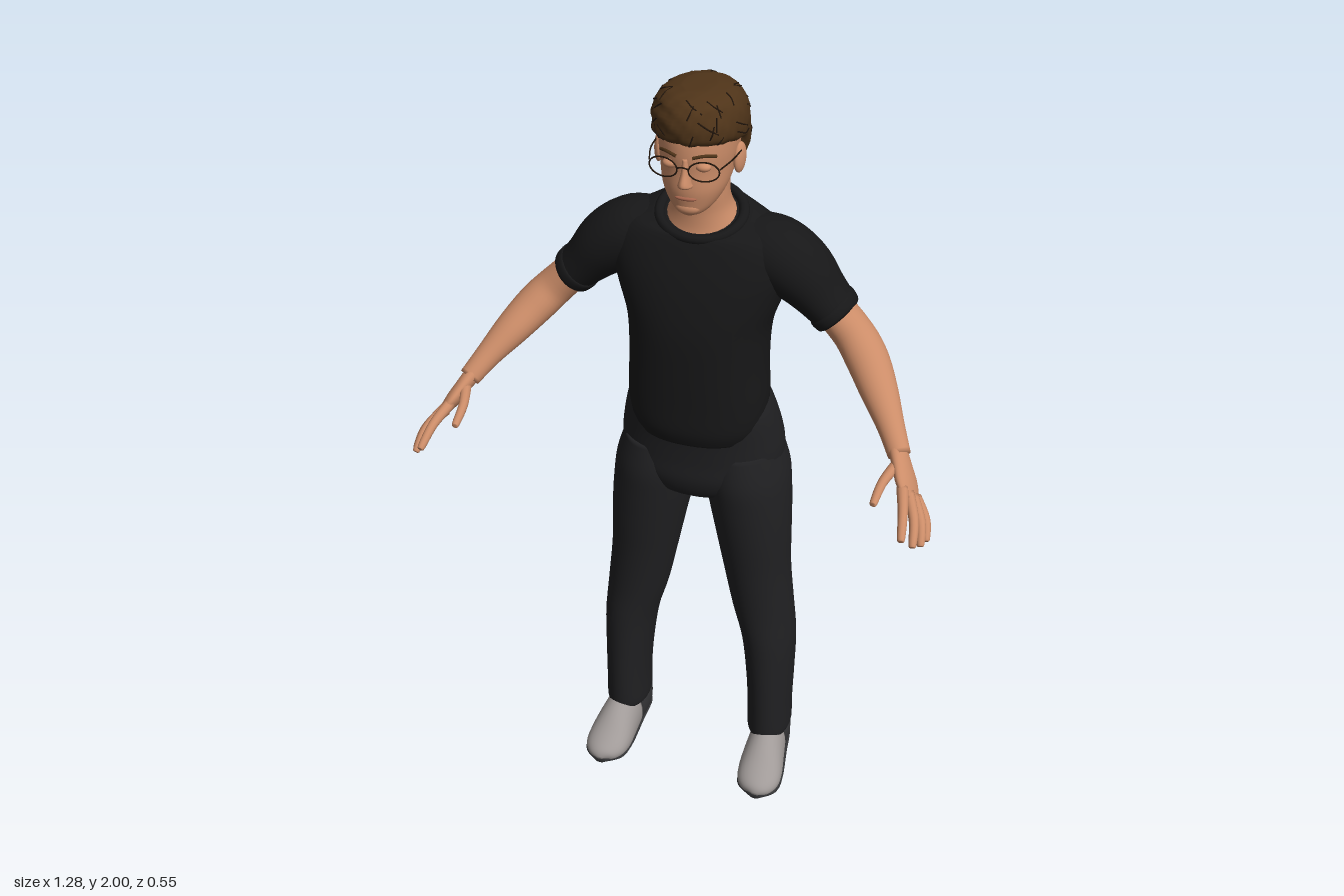
import * as THREE from 'three';

const material = (name, color) => Object.assign(new THREE.MeshStandardMaterial({ color }), { name });
const V = (x, y, z) => new THREE.Vector3(x, y, z);

// Catmull-Rom interpolation of rows of numbers
function sampleRows(rows, t) {
  const f = t * (rows.length - 1), i = Math.min(Math.floor(f), rows.length - 2), k = f - i;
  const at = j => rows[Math.max(0, Math.min(rows.length - 1, j))];
  return rows[i].map((b, n) => {
    const a = at(i - 1)[n], c = at(i + 1)[n], d = at(i + 2)[n];
    return b + 0.5 * k * (c - a + k * (2 * a - 5 * b + 4 * c - d + k * (3 * (b - c) + d - a)));
  });
}

// Closed smooth skin through rows [x, y, z, radiusU, radiusV, tilt].
// Without ref the rings lie flat (U = x, V = z); with ref they stand across the path.
function loft(rows, { ref = null, sides = 28, power = 1, steps = 5, warp = null } = {}) {
  const n = (rows.length - 1) * steps, pos = [], idx = [];
  const samples = Array.from({ length: n + 1 }, (_, i) => sampleRows(rows, i / n));
  const point = s => V(s[0], s[1], s[2]);
  const bend = c => Math.sign(c) * Math.abs(c) ** power;
  samples.forEach((s, i) => {
    let u = V(1, 0, 0), v = V(0, 0, 1);
    if (ref) {
      const t = point(samples[Math.min(n, i + 1)]).sub(point(samples[Math.max(0, i - 1)])).normalize();
      u = t.clone().cross(ref).normalize();
      v = t.clone().cross(u);
    }
    for (let j = 0; j < sides; j++) {
      const a = j / sides * Math.PI * 2, c = bend(Math.cos(a)), d = bend(Math.sin(a));
      const p = point(s).addScaledVector(u, c * s[3]).addScaledVector(v, d * s[4]);
      p.y += (s[5] || 0) * d;
      if (warp) warp(p);
      pos.push(p.x, p.y, p.z);
      if (i < n) {
        const q = i * sides + j, r = i * sides + (j + 1) % sides;
        idx.push(q, r, q + sides, r, r + sides, q + sides);
      }
    }
  });
  // end caps
  [0, n].forEach(e => {
    const c = pos.length / 3;
    pos.push(samples[e][0], samples[e][1], samples[e][2]);
    for (let j = 0; j < sides; j++) {
      const q = e * sides + j, r = e * sides + (j + 1) % sides;
      idx.push(...(e ? [q, r, c] : [r, q, c]));
    }
  });
  // turn the faces outward
  let volume = 0;
  const at = i => V(pos[i * 3], pos[i * 3 + 1], pos[i * 3 + 2]);
  for (let i = 0; i < idx.length; i += 3) volume += at(idx[i]).dot(at(idx[i + 1]).cross(at(idx[i + 2])));
  if (volume < 0) idx.reverse();
  const g = new THREE.BufferGeometry();
  g.setAttribute('position', new THREE.Float32BufferAttribute(pos, 3));
  g.setIndex(idx);
  g.computeVertexNormals();
  return g;
}

// Flat row from height, front z, back z and half width
const slice = ([y, front, back, rx, tilt = 0]) => [0, y, (front + back) / 2, rx, (front - back) / 2, tilt];

export function createModel() {
  const group = new THREE.Group();
  group.name = 'standingMan';
  const skin = material('skin', 0xcb8c68), shirt = material('shirtBlack', 0x171718);
  const trousers = material('trouserBlack', 0x202022), hair = material('hairBrown', 0x4f3419);
  const dark = material('darkStrands', 0x21150b), shoe = material('shoeGrey', 0xa09a98);
  const heel = material('heelGrey', 0x343436), lip = material('lips', 0xa9674f);
  const add = (name, geometry, mat) => {
    const m = new THREE.Mesh(geometry, mat);
    m.name = name;
    group.add(m);
    return m;
  };
  const ball = (name, mat, p, r) => {
    const m = add(name, new THREE.SphereGeometry(1, 20, 14), mat);
    m.position.set(...p);
    m.scale.set(...r);
    return m;
  };
  const tube = (name, mat, pts, r, closed = false) =>
    add(name, new THREE.TubeGeometry(new THREE.CatmullRomCurve3(pts, closed), closed ? 32 : 12, r, 6, closed), mat);

  // Shirt body, hem and collar
  add('shirt', loft([
    [1.09, 0.018, -0.2, 0.15], [1.13, 0.03, -0.215, 0.168], [1.2, 0.032, -0.222, 0.176], [1.3, 0.034, -0.225, 0.172],
    [1.4, 0.034, -0.235, 0.176], [1.48, 0.024, -0.24, 0.2], [1.55, 0.008, -0.24, 0.22], [1.61, -0.012, -0.23, 0.215],
    [1.65, -0.025, -0.215, 0.175, -0.01], [1.675, -0.03, -0.19, 0.11, -0.035],
  ].map(slice), { sides: 40, power: 0.88 }), shirt);
  const collar = add('collar', new THREE.TorusGeometry(0.1, 0.013, 10, 40).rotateX(Math.PI / 2), shirt);
  collar.position.set(0, 1.672, -0.108);
  collar.scale.z = 0.86;
  collar.rotation.x = 0.42;

  // Trouser seat
  add('trouserSeat', loft([
    [1.19, 0.015, -0.235, 0.172], [1.15, 0.018, -0.25, 0.187], [1.08, 0.008, -0.268, 0.203], [1.02, 0.003, -0.276, 0.21],
    [0.96, 0, -0.27, 0.2], [0.91, -0.02, -0.245, 0.15], [0.885, -0.06, -0.2, 0.08],
  ].map(slice), { sides: 40, power: 0.92 }), trousers);

  for (const s of [-1, 1]) {
    const side = s > 0 ? 'left' : 'right';
    const mirror = rows => rows.map(([x, ...rest]) => [x * s, ...rest]);
    const limb = (name, mat, rows, opts) => add(side + name, loft(mirror(rows), opts), mat);

    // Trouser leg with hem
    limb('TrouserLeg', trousers, [
      [0.11, 1.04, -0.135, 0.09, 0.12], [0.118, 0.96, -0.135, 0.107, 0.134], [0.128, 0.88, -0.128, 0.107, 0.124],
      [0.141, 0.78, -0.12, 0.099, 0.108], [0.155, 0.66, -0.118, 0.089, 0.095], [0.175, 0.53, -0.118, 0.082, 0.09],
      [0.195, 0.42, -0.116, 0.072, 0.092], [0.203, 0.3, -0.112, 0.064, 0.091], [0.206, 0.2, -0.108, 0.06, 0.088],
      [0.207, 0.12, -0.108, 0.06, 0.087], [0.207, 0.1, -0.108, 0.056, 0.083],
    ]);
    const patch = ball(side + 'CalfPatch', shoe, [s * 0.228, 0.2, -0.19], [0.016, 0.027, 0.004]);
    patch.rotation.y = -s * 0.37;

    // Shoe: upper, heel and sole
    const ref = V(0, 1, 0), flat = p => { p.y = Math.max(p.y, 0.008); };
    limb('ShoeUpper', shoe, [
      [0.211, 0.05, -0.085, 0.05, 0.085], [0.215, 0.045, -0.03, 0.056, 0.078], [0.22, 0.034, 0.03, 0.061, 0.056],
      [0.224, 0.03, 0.07, 0.055, 0.038], [0.226, 0.026, 0.096, 0.036, 0.024], [0.226, 0.022, 0.108, 0.008, 0.006],
    ], { ref, warp: flat });
    limb('ShoeHeel', heel, [
      [0.207, 0.04, -0.199, 0.014, 0.03], [0.207, 0.05, -0.19, 0.038, 0.07], [0.208, 0.05, -0.15, 0.05, 0.085],
      [0.211, 0.05, -0.082, 0.051, 0.087],
    ], { ref, warp: flat });
    limb('ShoeSole', heel, [
      [0.207, 0.014, -0.199, 0.02, 0.012], [0.207, 0.014, -0.17, 0.046, 0.014], [0.213, 0.014, -0.08, 0.054, 0.014],
      [0.22, 0.014, 0.02, 0.062, 0.014], [0.225, 0.014, 0.075, 0.054, 0.014], [0.226, 0.016, 0.107, 0.016, 0.01],
    ], { ref });

    // Sleeve and cuff
    limb('Sleeve', shirt, [
      [0.1, 1.6, -0.13, 0.075, 0.07], [0.17, 1.585, -0.13, 0.09, 0.083], [0.235, 1.545, -0.128, 0.088, 0.079],
      [0.29, 1.49, -0.126, 0.075, 0.062], [0.333, 1.445, -0.123, 0.066, 0.053],
    ], { ref });
    limb('Cuff', shirt, [
      [0.308, 1.471, -0.124, 0.066, 0.052], [0.314, 1.465, -0.124, 0.073, 0.06],
      [0.331, 1.447, -0.123, 0.069, 0.057], [0.337, 1.441, -0.122, 0.06, 0.046],
    ], { ref, steps: 3 });

    // Arm, palm and fingers
    limb('Arm', skin, [
      [0.3, 1.48, -0.122, 0.055, 0.045], [0.37, 1.41, -0.112, 0.052, 0.047], [0.415, 1.365, -0.08, 0.052, 0.047],
      [0.46, 1.316, -0.025, 0.045, 0.041], [0.503, 1.266, 0.032, 0.033, 0.031], [0.537, 1.222, 0.08, 0.027, 0.026],
    ], { ref });
    limb('Palm', skin, [
      [0.524, 1.238, 0.062, 0.022, 0.025], [0.546, 1.208, 0.093, 0.019, 0.035],
      [0.566, 1.178, 0.122, 0.018, 0.043], [0.584, 1.154, 0.148, 0.011, 0.036],
    ], { ref: V(0.025 * s, -0.04, -0.045) });
    const fingers = {
      Thumb: [[0.538, 1.212, 0.1], [0.518, 1.2, 0.165], [0.512, 1.185, 0.228]],
      IndexFinger: [[0.562, 1.183, 0.15], [0.578, 1.163, 0.215], [0.588, 1.13, 0.27]],
      MiddleFinger: [[0.575, 1.168, 0.143], [0.603, 1.14, 0.205], [0.612, 1.103, 0.25]],
      RingFinger: [[0.585, 1.153, 0.133], [0.616, 1.123, 0.185], [0.626, 1.088, 0.222]],
      LittleFinger: [[0.589, 1.14, 0.118], [0.622, 1.112, 0.157], [0.633, 1.08, 0.19]],
    };
    for (const [name, [a, b, c]] of Object.entries(fingers)) {
      const tip = c.map((v, i) => v + (c[i] - b[i]) * 0.07);
      limb(name, skin, [[...a, 0.014, 0.014], [...b, 0.0115, 0.0115], [...c, 0.009, 0.009], [...tip, 0.002, 0.002]],
        { ref: V(1, 0, 0), sides: 12 });
    }

    // Ear, brow and eyelid
    const ear = ball(side + 'Ear', skin, [s * 0.095, 1.832, -0.085], [0.011, 0.036, 0.021]);
    ear.rotation.set(-0.15, s * -0.3, 0);
    ball(side + 'Eyelid', skin, [s * 0.038, 1.843, 0.008], [0.018, 0.011, 0.014]);
    tube(side + 'Brow', hair, [V(s * 0.018, 1.868, 0.025), V(s * 0.04, 1.873, 0.018), V(s * 0.064, 1.866, -0.006)], 0.004);

    // Spectacle rim and temple
    const rim = Array.from({ length: 16 }, (_, i) => {
      const a = i / 8 * Math.PI, c = Math.cos(a), d = Math.sin(a);
      return V(s * (0.047 + 0.034 * c), 1.843 + 0.023 * d, 0.032 - 0.006 * c);
    });
    tube(side + 'SpectacleRim', dark, rim, 0.0018, true);
    tube(side + 'SpectacleTemple', dark, [V(s * 0.081, 1.85, 0.026), V(s * 0.096, 1.853, -0.03), V(s * 0.1, 1.852, -0.085)], 0.0018);
  }
  tube('spectacleBridge', dark, [V(-0.013, 1.847, 0.038), V(0, 1.851, 0.041), V(0.013, 1.847, 0.038)], 0.0018);

  // Neck and head
  add('neck', loft([
    [1.63, -0.025, -0.18, 0.09, -0.02], [1.665, -0.042, -0.18, 0.086, -0.022], [1.7, -0.045, -0.175, 0.071, -0.01],
    [1.74, -0.04, -0.168, 0.066], [1.8, -0.04, -0.175, 0.066],
  ].map(slice)), skin);
  add('head', loft([
    [1.715, 0.002, -0.05, 0.02], [1.723, 0.01, -0.075, 0.038], [1.745, 0.015, -0.105, 0.058], [1.78, 0.021, -0.15, 0.076],
    [1.825, 0.02, -0.19, 0.086], [1.865, 0.022, -0.205, 0.091], [1.91, 0.015, -0.205, 0.091], [1.95, -0.01, -0.18, 0.075],
    [1.975, -0.05, -0.13, 0.03],
  ].map(slice), { sides: 36 }), skin);
  add('nose', loft([
    [1.862, 0.025, -0.01, 0.009], [1.83, 0.034, -0.01, 0.01], [1.806, 0.045, -0.01, 0.015],
    [1.797, 0.04, -0.01, 0.018], [1.79, 0.024, -0.01, 0.012],
  ].map(slice), { sides: 16 }), skin);
  ball('mouth', lip, [0, 1.764, 0.014], [0.026, 0.006, 0.009]);
  ball('chin', skin, [0, 1.735, -0.002], [0.03, 0.018, 0.018]);

  // Tousled hair
  const hairRows = [
    [1.765, -0.135, -0.18, 0.05], [1.795, -0.108, -0.208, 0.083], [1.84, -0.096, -0.224, 0.098],
    [1.868, -0.068, -0.226, 0.102], [1.89, 0.015, -0.226, 0.106], [1.92, 0.03, -0.226, 0.108],
    [1.955, 0.024, -0.212, 0.1], [1.983, 0.003, -0.183, 0.077], [1.996, -0.04, -0.14, 0.035],
  ].map(slice);
  const tousle = p => {
    const w = 0.0035 * Math.sin(p.x * 130 + p.y * 60) * Math.sin(p.z * 120 - p.y * 80);
    p.x *= 1 + w * 8;
    p.z += w;
  };
  add('hair', loft(hairRows, { sides: 48, warp: tousle }), hair);

  // Dark locks lying on the hair
  let seed = 7;
  const random = () => (seed = (seed * 16807) % 2147483647) / 2147483647;
  const onHair = (t, a) => {
    const r = sampleRows(hairRows, t);
    const p = V(Math.cos(a) * r[3], r[1], r[2] + Math.sin(a) * r[4]);
    tousle(p);
    return p;
  };
  for (let i = 0; i < 60; i++) {
    const t = 0.3 + random() * 0.55, a = random() * Math.PI * 2, turn = (random() - 0.5) * 0.5;
    const pts = [0, 1, 2].map(k => onHair(t + k * 0.055, a + k * turn));
    tube('hairStrand', dark, pts, 0.0018);
  }
  return group;
}
